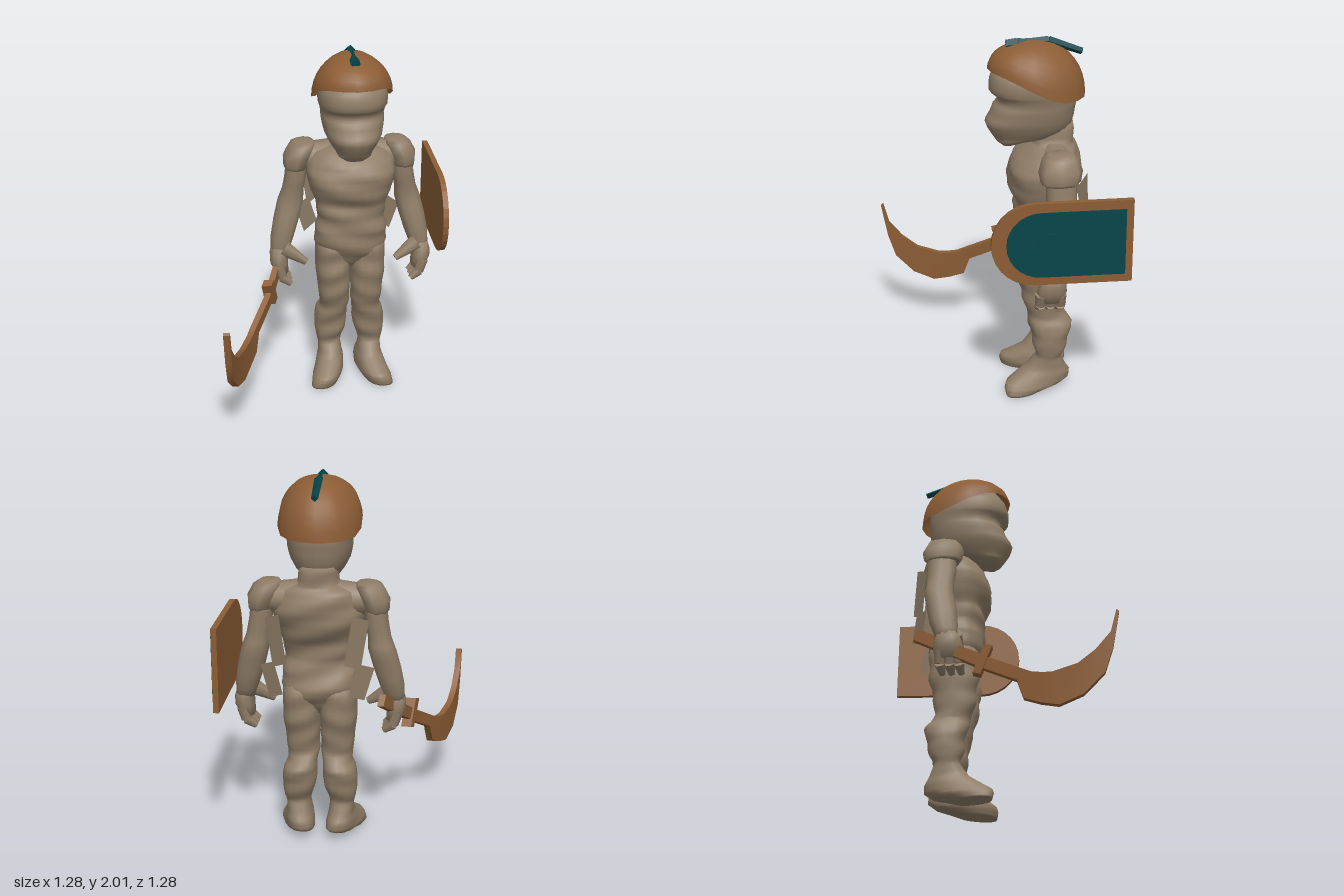
import * as THREE from 'three';

const wrap = new THREE.MeshStandardMaterial({ color: 0x8f7d67, side: THREE.DoubleSide });
wrap.name = 'linen wrap';
const bronze = new THREE.MeshStandardMaterial({ color: 0x8c5d35, side: THREE.DoubleSide });
bronze.name = 'bronze';
const teal = new THREE.MeshStandardMaterial({ color: 0x07454a, flatShading: true });
teal.name = 'teal';

const mesh = (name, geometry, material) => {
  const m = new THREE.Mesh(geometry, material);
  m.name = name;
  return m;
};

// Skin over oval rings. Rows go upward: [y, centre x, half width, back z, front z]
function loft(rows, { s = 1, n = 16, sub = 2, move } = {}) {
  const rings = [];
  rows.forEach((r, i) => {
    const next = rows[i + 1];
    if (!next) return rings.push(r);
    for (let k = 0; k < sub; k++) rings.push(r.map((v, c) => v + (next[c] - v) * k / sub));
  });
  const pos = [], idx = [];
  const put = (x, y, z) => {
    const p = new THREE.Vector3(x, y, z);
    if (move) move(p);
    pos.push(p.x, p.y, p.z);
  };
  rings.forEach(([y, xc, rx, zb, zf]) => {
    for (let j = 0; j < n; j++) {
      const a = j / n * Math.PI * 2, c = Math.cos(a), d = Math.sin(a);
      const q = (v) => Math.sign(v) * Math.abs(v) ** 0.85;
      put(s * xc + rx * q(d), y, (zb + zf) / 2 + (zf - zb) / 2 * q(c));
    }
  });
  const last = rings.length - 1;
  for (let i = 0; i < last; i++) for (let j = 0; j < n; j++) {
    const k = (j + 1) % n, a = i * n + j, b = i * n + k;
    idx.push(a, b, b + n, a, b + n, a + n);
  }
  [0, last].forEach((i, e) => {
    const [y, xc, , zb, zf] = rings[i];
    put(s * xc, y, (zb + zf) / 2);
    const c = rings.length * n + e;
    for (let j = 0; j < n; j++) {
      const a = i * n + j, b = i * n + (j + 1) % n;
      idx.push(...(e ? [a, b, c] : [b, a, c]));
    }
  });
  const g = new THREE.BufferGeometry();
  g.setAttribute('position', new THREE.Float32BufferAttribute(pos, 3));
  g.setIndex(idx);
  g.computeVertexNormals();
  return g;
}

// Tapered bar between two points
function bar(a, b, ra, rb, sides) {
  const A = new THREE.Vector3(...a), B = new THREE.Vector3(...b), d = B.clone().sub(A);
  const g = new THREE.CylinderGeometry(rb, ra, d.length(), sides);
  g.applyQuaternion(new THREE.Quaternion().setFromUnitVectors(new THREE.Vector3(0, 1, 0), d.normalize()));
  return g.translate(...A.add(B).multiplyScalar(0.5).toArray());
}

// Outline of [z, y] points given thickness along x
function plate(points, x, depth) {
  const shape = new THREE.Shape(points.map(([z, y]) => new THREE.Vector2(-z, y)));
  return new THREE.ExtrudeGeometry(shape, { depth, bevelEnabled: false, steps: 1 })
    .rotateY(Math.PI / 2).translate(x, 0, 0);
}

function buildHelmet() {
  const n = 18, m = 9, pos = [], idx = [];
  for (let i = 0; i <= m; i++) for (let j = 0; j < n; j++) {
    const t = i / m * Math.PI / 2, a = j / n * Math.PI * 2;
    const x = 0.22 * Math.sin(a), z = 0.257 * Math.cos(a);
    const rim = 1.70 + 0.145 * THREE.MathUtils.smoothstep(z - 0.19, -0.36, 0.055);
    pos.push(x * Math.sin(t), rim + (1.99 - rim) * Math.cos(t), z * Math.sin(t) - 0.19);
  }
  for (let i = 0; i < m; i++) for (let j = 0; j < n; j++) {
    const k = (j + 1) % n, a = i * n + j, b = i * n + k;
    idx.push(a, a + n, b + n);
    if (i) idx.push(a, b + n, b);
  }
  const g = new THREE.BufferGeometry();
  g.setAttribute('position', new THREE.Float32BufferAttribute(pos, 3));
  g.setIndex(idx);
  g.computeVertexNormals();
  return mesh('helmet', g, bronze);
}

// Rounded-front shield outline
function shieldOutline(cz, r, back) {
  const pts = [[back, 1.065 - r * 0.98], [back + 0.004, 1.065 + r * 1.03]];
  for (let i = 0; i <= 14; i++) {
    const a = Math.PI / 2 - i / 14 * Math.PI;
    pts.push([cz + r * Math.cos(a), 1.065 + r * Math.sin(a)]);
  }
  return pts;
}

// Curved sword, bowed sideways along its length
function buildSword() {
  const sword = new THREE.Group();
  sword.name = 'sword';
  const bow = (z) => -0.385 - (z > 0 ? 0.6 * z - 0.35 * z * z : 0.37 * z);
  // Stations from pommel to tip: [upper z, upper y, lower z, lower y]
  const stations = [[-0.4, 0.886, -0.43, 0.83], [0, 0.642, -0.03, 0.587], [0.17, 0.538, 0.13, 0.49],
    [0.2, 0.52, 0.164, 0.386], [0.26, 0.503, 0.25, 0.345], [0.31, 0.497, 0.34, 0.317],
    [0.434, 0.52, 0.46, 0.355], [0.524, 0.582, 0.566, 0.455], [0.6, 0.667, 0.61, 0.587],
    [0.632, 0.785, 0.645, 0.775]];
  const segments = stations.length - 1;
  const blade = new THREE.BoxGeometry(0.034, 1, 1, 1, 1, segments);
  const p = blade.attributes.position;
  for (let i = 0; i < p.count; i++) {
    const [zu, yu, zl, yl] = stations[Math.round((p.getZ(i) + 0.5) * segments)];
    const [z, y] = p.getY(i) > 0 ? [zu, yu] : [zl, yl];
    p.setXYZ(i, p.getX(i) + bow(z), y, z);
  }
  blade.computeVertexNormals();
  sword.add(mesh('blade', blade, bronze));

  const guard = new THREE.BoxGeometry(0.055, 0.16, 0.045).rotateX(0.4);
  const g = guard.attributes.position;
  for (let i = 0; i < g.count; i++) {
    const z = g.getZ(i) - 0.05;
    g.setXYZ(i, g.getX(i) + bow(z), g.getY(i) + 0.645, z);
  }
  guard.computeVertexNormals();
  sword.add(mesh('guard', guard, bronze));
  return sword;
}

export function createModel() {
  const model = new THREE.Group();
  const body = new THREE.Group();
  body.name = 'body';
  body.position.x = 0.11;
  model.add(body);

  // Torso with slanting wrap ridges
  body.add(mesh('torso', loft([
    [0.72, 0, 0.05, -0.28, -0.18], [0.77, 0, 0.13, -0.34, -0.13], [0.83, 0, 0.19, -0.37, -0.1],
    [0.88, 0, 0.208, -0.38, -0.085], [0.93, 0, 0.2, -0.37, -0.08], [0.97, 0, 0.203, -0.36, -0.075],
    [1.03, 0, 0.187, -0.34, -0.085], [1.08, 0, 0.195, -0.35, -0.075], [1.13, 0, 0.198, -0.36, -0.08],
    [1.19, 0, 0.225, -0.39, -0.05], [1.25, 0, 0.24, -0.415, -0.04], [1.31, 0, 0.25, -0.425, -0.045],
    [1.37, 0, 0.24, -0.42, -0.08], [1.42, 0, 0.2, -0.41, -0.13], [1.45, 0, 0.11, -0.39, -0.165],
    [1.55, 0, 0.1, -0.38, -0.17]], {
    n: 24, sub: 3,
    move: (p) => { p.z += 0.008 * Math.sign(p.z + 0.23) * Math.sin(p.y * 38 + p.x * 14); },
  }), wrap));

  // Head with muzzle, sunken eye line and brow
  body.add(mesh('head', loft([
    [1.43, 0, 0.05, -0.07, -0.01], [1.455, 0, 0.09, -0.14, 0.02], [1.48, 0, 0.108, -0.3, 0.04],
    [1.52, 0, 0.135, -0.36, 0.065], [1.56, 0, 0.155, -0.38, 0.08], [1.6, 0, 0.165, -0.39, 0.055],
    [1.64, 0, 0.172, -0.395, 0.04], [1.67, 0, 0.172, -0.4, 0.015], [1.7, 0, 0.178, -0.4, 0.02],
    [1.73, 0, 0.188, -0.4, 0.058], [1.78, 0, 0.19, -0.4, 0.058], [1.82, 0, 0.18, -0.39, 0.045],
    [1.9, 0, 0.12, -0.34, -0.01]], { n: 20 }), wrap));
  body.add(buildHelmet());

  // Helmet crest
  const crest = [[-0.03, 1.966, 0.026], [-0.09, 1.975, 0.026], [-0.13, 1.98, 0.015],
    [-0.2, 1.985, 0.017], [-0.25, 1.985, 0.022], [-0.425, 1.922, 0.018]];
  crest.slice(1).forEach(([z, y, r], i) => {
    const [z0, y0, r0] = crest[i];
    body.add(mesh('crest', bar([0, y0, z0], [0, y, z], r0, r, 4), teal));
  });

  for (const s of [1, -1]) {
    const side = s > 0 ? 'left' : 'right';
    // Leg with wrap ridges and outward-turned foot
    body.add(mesh(side + 'Leg', loft([
      [0, 0.115, 0.075, -0.22, -0.02], [0.035, 0.115, 0.088, -0.35, -0.013], [0.06, 0.115, 0.085, -0.385, -0.02],
      [0.1, 0.115, 0.08, -0.385, -0.08], [0.14, 0.115, 0.07, -0.36, -0.14], [0.2, 0.12, 0.066, -0.335, -0.185],
      [0.24, 0.12, 0.075, -0.345, -0.19], [0.3, 0.115, 0.09, -0.365, -0.175], [0.36, 0.11, 0.095, -0.385, -0.165],
      [0.41, 0.105, 0.09, -0.385, -0.16], [0.45, 0.095, 0.08, -0.36, -0.15], [0.5, 0.09, 0.088, -0.34, -0.13],
      [0.56, 0.095, 0.09, -0.34, -0.12], [0.62, 0.095, 0.095, -0.355, -0.11], [0.7, 0.1, 0.1, -0.37, -0.105],
      [0.78, 0.1, 0.1, -0.375, -0.11], [0.86, 0.1, 0.1, -0.37, -0.11], [0.92, 0.1, 0.08, -0.34, -0.14]], {
      s, sub: 3,
      move: (p) => {
        p.x += s * 0.3 * (p.z + 0.26) * Math.max(0, 1 - p.y / 0.16);
        if (p.y > 0.2) p.z += 0.007 * Math.sign(p.z + 0.25) * Math.sin(p.y * 45 + s * p.x * 14);
      },
    }), wrap));

    // Arm, shoulder and hand
    body.add(mesh(side + 'Arm', loft([
      [0.8, 0.405, 0.05, -0.3, -0.19], [0.9, 0.385, 0.067, -0.34, -0.19], [1, 0.36, 0.074, -0.36, -0.2],
      [1.1, 0.335, 0.074, -0.38, -0.22], [1.17, 0.32, 0.062, -0.37, -0.22], [1.25, 0.305, 0.062, -0.37, -0.21],
      [1.36, 0.295, 0.06, -0.37, -0.21]], { s, n: 12 }), wrap));
    body.add(mesh(side + 'Shoulder', loft([
      [1.31, 0.305, 0.062, -0.37, -0.19], [1.325, 0.305, 0.066, -0.39, -0.18], [1.38, 0.295, 0.078, -0.4, -0.17],
      [1.44, 0.265, 0.076, -0.38, -0.19], [1.46, 0.255, 0.055, -0.35, -0.22]], { s, n: 8, sub: 1 }), wrap));
    body.add(mesh(side + 'Collar',
      bar([s * 0.1, 1.365, -0.28], [s * 0.28, 1.37, -0.285], 0.1, 0.075, 10), wrap));
    body.add(mesh(side + 'Palm', loft([
      [0.69, 0.395, 0.04, -0.3, -0.17], [0.75, 0.41, 0.052, -0.315, -0.155], [0.8, 0.41, 0.052, -0.31, -0.17],
      [0.84, 0.4, 0.05, -0.3, -0.19]], { s, n: 10, sub: 1 }), wrap));
    for (const z of [-0.18, -0.23, -0.28]) {
      const mid = [s * 0.395, 0.67, z];
      body.add(mesh(side + 'Finger', bar([s * 0.415, 0.74, z], mid, 0.034, 0.03, 7), wrap));
      body.add(mesh(side + 'Fingertip', bar(mid, [s * 0.345, 0.63, z + 0.01], 0.03, 0.018, 7), wrap));
    }
    body.add(mesh(side + 'Thumb', bar([s * 0.38, 0.84, -0.21], [s * 0.255, 0.76, -0.18], 0.048, 0.02, 7), wrap));

    // Loose bandage ends behind the back
    [[[0.27, 1.28, -0.38], [0.23, 1.02, -0.4]], [[0.3, 1.02, -0.37], [0.25, 0.85, -0.4]]].forEach(([a, b]) => {
      const g = new THREE.PlaneGeometry(1, 1);
      const corner = (p, w) => [s * (p[0] - w * 0.08), p[1] + w * 0.04, p[2] - w * 0.06];
      [corner(a, 0), corner(a, 1), corner(b, 0), corner(b, 1)]
        .forEach((c, i) => g.attributes.position.setXYZ(i, ...c));
      g.computeVertexNormals();
      body.add(mesh(side + 'LooseBandage', g, wrap));
    });
  }

  // Shield with inset face and boss
  const shield = new THREE.Group();
  shield.name = 'shield';
  shield.add(mesh('shieldBoard', plate(shieldOutline(-0.135, 0.225, -0.635), 0.585, 0.03), bronze));
  shield.add(mesh('shieldFace', plate(shieldOutline(-0.165, 0.178, -0.597), 0.615, 0.009), teal));
  const boss = new THREE.CylinderGeometry(0.07, 0.07, 0.012, 20).rotateZ(Math.PI / 2).translate(0.63, 1.065, -0.215);
  shield.add(mesh('shieldBoss', boss, teal));
  model.add(shield, buildSword());
  return model;
}
